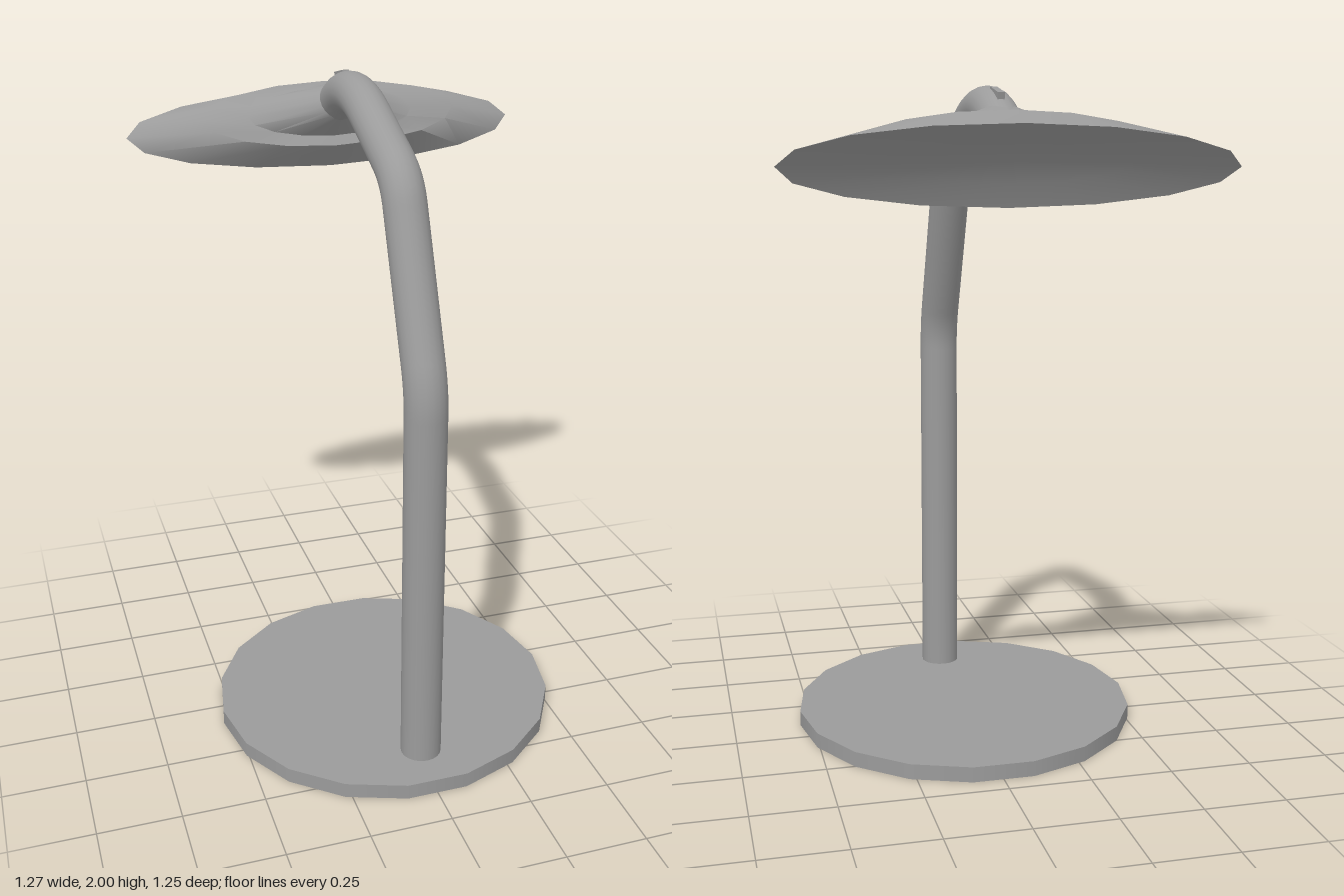
import * as THREE from 'three';
import { toCreasedNormals } from 'three/addons/utils/BufferGeometryUtils.js';

const SIDES = 16;
// direction of the shade's short axis, in the y-z plane
const SHORT_AXIS = new THREE.Vector3(0, 0.798, -0.603);

// Skin through tilted ellipses: each ring is [centreY, centreZ, halfWidth, halfDepth, shortAxis?]
function loft(rings) {
  const positions = [], index = [], row = SIDES + 1;
  rings.forEach(([y, z, rx, ry, axis = SHORT_AXIS], j) => {
    for (let i = 0; i <= SIDES; i++) {
      const t = (i / SIDES) * Math.PI * 2;
      const s = Math.sin(t) * ry;
      positions.push(Math.cos(t) * rx, y + axis.y * s, z + axis.z * s);
      if (j < rings.length - 1 && i < SIDES) {
        const a = j * row + i, b = a + row;
        index.push(a, b, a + 1, b, b + 1, a + 1);
      }
    }
  });
  const geometry = new THREE.BufferGeometry();
  geometry.setAttribute('position', new THREE.Float32BufferAttribute(positions, 3));
  geometry.setIndex(index);
  return toCreasedNormals(geometry, 0.95);
}

export function createModel() {
  const model = new THREE.Group();
  model.name = 'deskLamp';
  const material = new THREE.MeshStandardMaterial({ color: 0x9b9b9b });
  const add = (name, geometry) => {
    const mesh = new THREE.Mesh(geometry, material);
    mesh.name = name;
    model.add(mesh);
    return mesh;
  };

  // Round base plate
  const base = add('base', new THREE.CylinderGeometry(0.54, 0.54, 0.047, 18));
  base.rotation.y = Math.PI / 2;
  base.position.set(0, 0.0235, 0.095);

  // Bent arm: straight runs joined by rounded corners
  const p = (y, z) => new THREE.Vector3(0, y, z);
  const path = new THREE.CurvePath();
  let last = p(0.03, 0.47);
  const bends = [
    [p(1.17, 0.47), p(1.242, 0.47), p(1.31, 0.442)],
    [p(1.72, 0.275), p(1.785, 0.247), p(1.815, 0.175)],
    [p(1.907, -0.045), p(1.971, -0.204), p(1.908, -0.33)],
  ];
  for (const [start, corner, end] of bends) {
    path.add(new THREE.LineCurve3(last, start));
    path.add(new THREE.QuadraticBezierCurve3(start, corner, end));
    last = end;
  }
  path.add(new THREE.LineCurve3(last, p(1.874, -0.395)));
  add('arm', new THREE.TubeGeometry(path, 120, 0.062, 20));

  // Small switch on top of the arm
  const button = add('switch', new THREE.BoxGeometry(0.02, 0.04, 0.092));
  button.position.set(0, 1.965, -0.325);
  button.rotation.x = -0.22;

  // Wide, shallow shade facing down and back
  const neckAxis = new THREE.Vector3(0, 0.883, -0.469);
  add('shade', loft([
    [1.897, -0.35, 0.055, 0.055, neckAxis], // neck, starting inside the arm
    [1.838, -0.457, 0.27, 0.083],           // foot of the neck
    [1.833, -0.457, 0.41, 0.112],           // shoulder
    [1.775, -0.543, 0.637, 0.138],          // rim
    [1.784, -0.531, 0.32, 0.068],           // slightly hollow underside
    [1.787, -0.527, 0, 0],
  ]));

  return model;
}
